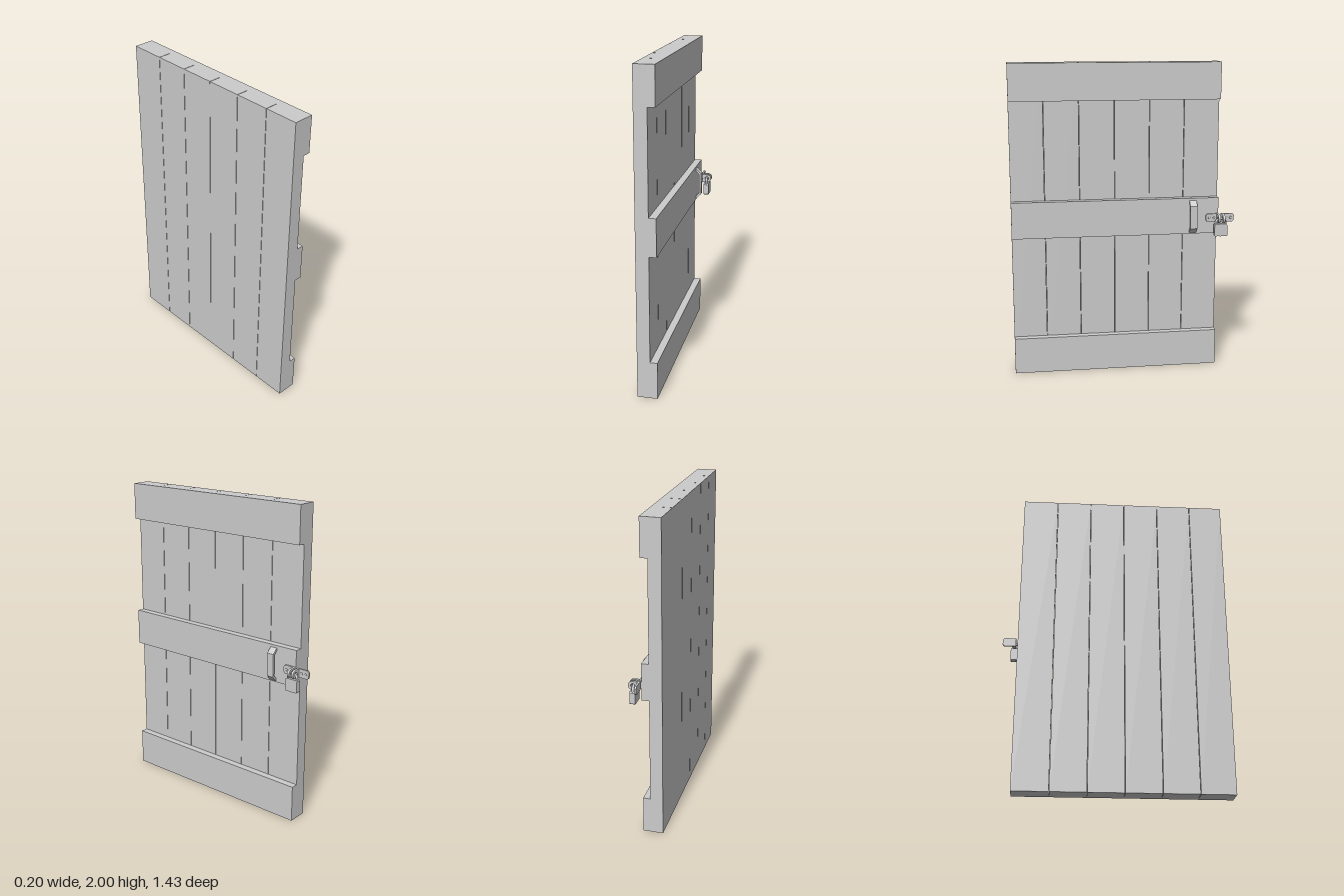
import * as THREE from 'three';

const mat = new THREE.MeshStandardMaterial({ color: 0xcccccc });

function add(parent, name, geometry, x = 0, y = 0, z = 0) {
  const mesh = new THREE.Mesh(geometry, mat);
  mesh.name = name;
  mesh.position.set(x, y, z);
  parent.add(mesh);
  return mesh;
}

const polygon = (pts) => new THREE.Shape(pts.map(([x, y]) => new THREE.Vector2(x, y)));
const extrude = (shape, depth, curveSegments = 12) =>
  new THREE.ExtrudeGeometry(shape, { depth, bevelEnabled: false, curveSegments });

// Half of the hasp: a screwed plate and a rounded, pierced tab. dir is the plate's z direction.
function makeHaspLeaf(name, dir) {
  const leaf = new THREE.Group();
  leaf.name = name;
  leaf.position.set(0.025, 1.007, -0.6245);

  const h = 0.027, near = 0.0075, far = 0.092;
  const plateShape = polygon([
    [near, -h], [far - 0.01, -h], [far, -h + 0.012], [far, h - 0.012], [far - 0.01, h], [near, h],
  ]);
  // Shape x runs along -z after the turn; flip for the other leaf
  const plate = add(leaf, 'haspPlate', extrude(plateShape, 0.012));
  plate.rotation.y = Math.PI / 2;
  if (dir > 0) {
    plate.rotation.y = -Math.PI / 2;
    plate.position.x = 0.012;
  }

  const tabShape = new THREE.Shape();
  tabShape.moveTo(0, -h);
  tabShape.lineTo(0.045, -h);
  tabShape.absarc(0.045, 0, h, -Math.PI / 2, Math.PI / 2, false);
  tabShape.lineTo(0, h);
  tabShape.closePath();
  const hole = new THREE.Path();
  hole.absarc(0.042, 0, 0.013, 0, Math.PI * 2, true);
  tabShape.holes.push(hole);
  add(leaf, 'haspTab', extrude(tabShape, 0.015), 0, 0, dir > 0 ? near : -near - 0.015);

  // Domed screw heads
  for (const d of [0.04, 0.07]) {
    const screw = add(leaf, 'screwHead', new THREE.SphereGeometry(0.008, 12, 5, 0, Math.PI * 2, 0, Math.PI / 2), 0.012, 0, dir * d);
    screw.rotation.z = -Math.PI / 2;
    screw.scale.y = 0.6;
  }
  return leaf;
}

export function createModel() {
  const door = new THREE.Group();
  door.name = 'plankDoor';

  // Upright planks with hairline joints
  const joints = [-0.615, -0.39, -0.168, 0.055, 0.279, 0.501, 0.715];
  const gap = 0.003;
  for (let i = 0; i < joints.length - 1; i++) {
    const a = joints[i] + (i ? gap / 2 : 0);
    const b = joints[i + 1] - (i < joints.length - 2 ? gap / 2 : 0);
    add(door, 'plank', new THREE.BoxGeometry(0.08, 2, b - a), -0.06, 1, (a + b) / 2);
  }

  // Cross battens
  for (const [name, y0, y1] of [['bottomBatten', 0, 0.236], ['middleBatten', 0.904, 1.138], ['topBatten', 1.768, 2]])
    add(door, name, new THREE.BoxGeometry(0.046, y1 - y0, 1.33), 0.002, (y0 + y1) / 2, 0.05);

  // Strap handle with sloping feet
  const handle = polygon([
    [0.025, 0.91], [0.06, 0.944], [0.06, 1.09], [0.025, 1.122],
    [0.025, 1.104], [0.046, 1.083], [0.046, 0.951], [0.025, 0.929],
  ]);
  add(door, 'handle', extrude(handle, 0.046), 0, 0, -0.471);

  // Hasp
  door.add(makeHaspLeaf('doorHaspLeaf', 1), makeHaspLeaf('frameHaspLeaf', -1));

  // Padlock
  const padlock = new THREE.Group();
  padlock.name = 'padlock';
  padlock.position.set(0.066, 0, -0.6225);
  door.add(padlock);

  const w = 0.042, c = 0.008, y0 = 0.895, y1 = 0.975;
  const body = polygon([
    [-w + c / 2, y0], [w - c / 2, y0], [w, y0 + c / 2], [w, y1 - c],
    [w - c, y1], [-w + c, y1], [-w, y1 - c], [-w, y0 + c / 2],
  ]);
  const bodyMesh = add(padlock, 'padlockBody', extrude(body, 0.034), -0.017, 0, 0);
  bodyMesh.rotation.y = Math.PI / 2;

  // Shackle passing through both tabs
  const shacklePts = [new THREE.Vector3(0, 0.965, -0.031)];
  for (let i = 0; i <= 8; i++) {
    const t = (i / 8) * Math.PI;
    shacklePts.push(new THREE.Vector3(0, 0.98 + 0.029 * Math.sin(t), -0.031 * Math.cos(t)));
  }
  shacklePts.push(new THREE.Vector3(0, 0.965, 0.031));
  add(padlock, 'shackle', new THREE.TubeGeometry(new THREE.CatmullRomCurve3(shacklePts), 28, 0.0075, 10));

  // Keyhole barrel under the body
  add(padlock, 'keyBarrel', new THREE.CylinderGeometry(0.01, 0.01, 0.004, 16), 0, y0 - 0.001, 0);

  return door;
}
